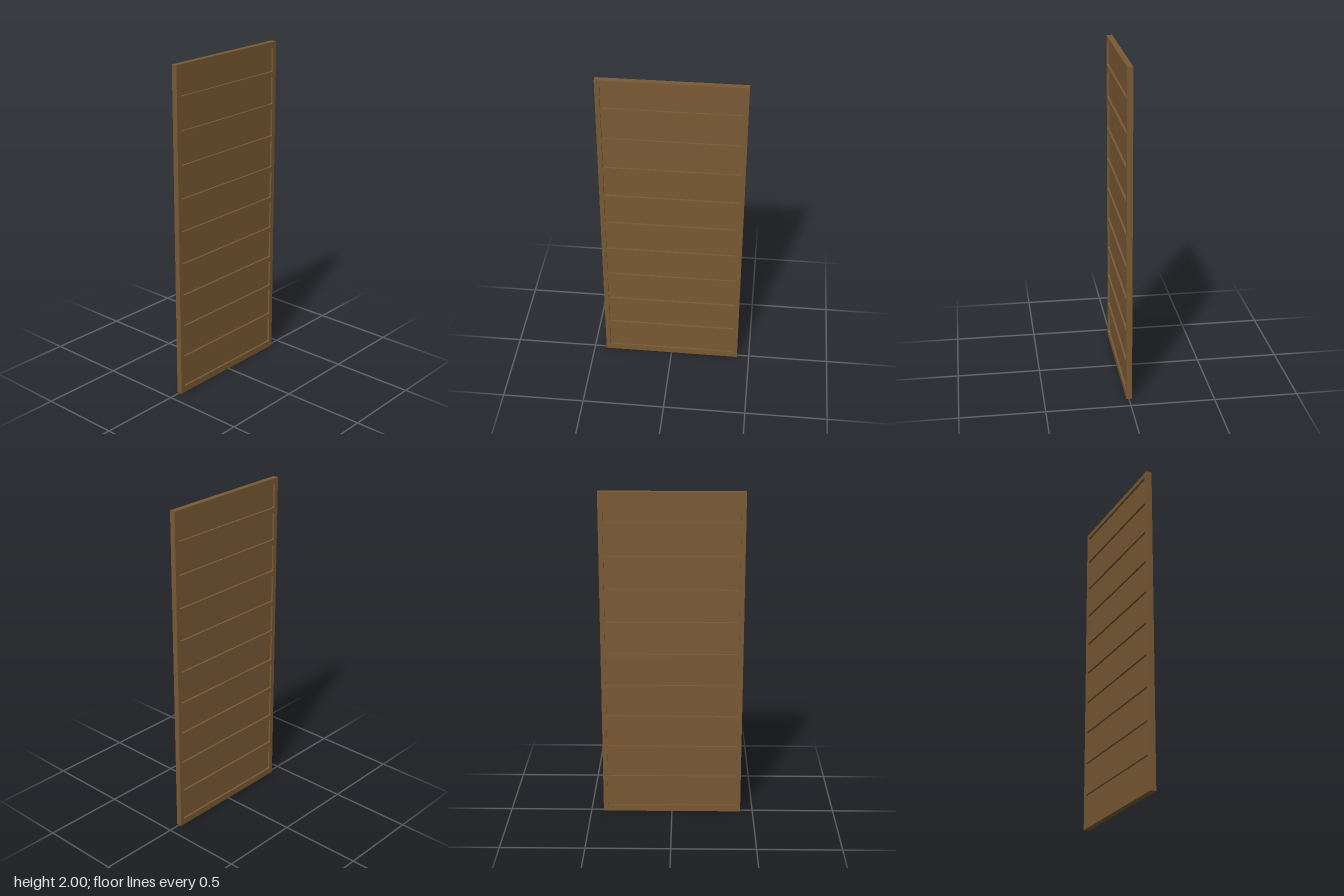
import * as THREE from 'three';

const WIDTH = 0.848, HEIGHT = 2, DEPTH = 0.034, RECESS = 0.012;
const OPEN_W = 0.794, PITCH = 0.198, ROWS = 10, RADIUS = 0.008;

// Draws a rectangle with slightly rounded corners, centred on x = 0
function roundedRect(path, w, y0, y1, r) {
  const x = w / 2;
  path.moveTo(-x + r, y0);
  path.lineTo(x - r, y0);
  path.quadraticCurveTo(x, y0, x, y0 + r);
  path.lineTo(x, y1 - r);
  path.quadraticCurveTo(x, y1, x - r, y1);
  path.lineTo(-x + r, y1);
  path.quadraticCurveTo(-x, y1, -x, y1 - r);
  path.lineTo(-x, y0 + r);
  path.quadraticCurveTo(-x, y0, -x + r, y0);
  return path;
}

export function createModel() {
  const group = new THREE.Group();
  group.name = 'panelledDoor';
  const wood = new THREE.MeshStandardMaterial({ color: 0x7a5a34 });
  wood.name = 'brown wood';

  // Openings from bottom to top; the top one is shorter
  const rows = Array.from({ length: ROWS }, (_, i) => {
    const y0 = 0.04 + i * PITCH;
    return [y0, i === ROWS - 1 ? 1.97 : y0 + 0.168];
  });

  // Frame: stiles and rails in one slab with cut openings
  const outline = new THREE.Shape([
    new THREE.Vector2(-WIDTH / 2, 0), new THREE.Vector2(WIDTH / 2, 0),
    new THREE.Vector2(WIDTH / 2, HEIGHT), new THREE.Vector2(-WIDTH / 2, HEIGHT),
  ]);
  for (const [y0, y1] of rows) {
    outline.holes.push(roundedRect(new THREE.Path(), OPEN_W, y0, y1, RADIUS));
  }
  const frameGeometry = new THREE.ExtrudeGeometry(outline, {
    depth: DEPTH, bevelEnabled: false, curveSegments: 3,
  });
  frameGeometry.translate(0, 0, -DEPTH / 2);
  const frame = new THREE.Mesh(frameGeometry, wood);
  frame.name = 'frame';
  group.add(frame);

  // Thin panels recessed on both faces, tucked a little into the frame
  rows.forEach(([y0, y1], i) => {
    const panel = new THREE.Mesh(
      new THREE.BoxGeometry(OPEN_W + 0.01, y1 - y0 + 0.01, DEPTH - 2 * RECESS), wood);
    panel.position.y = (y0 + y1) / 2;
    panel.name = `panel${i + 1}`;
    group.add(panel);
  });
  return group;
}
